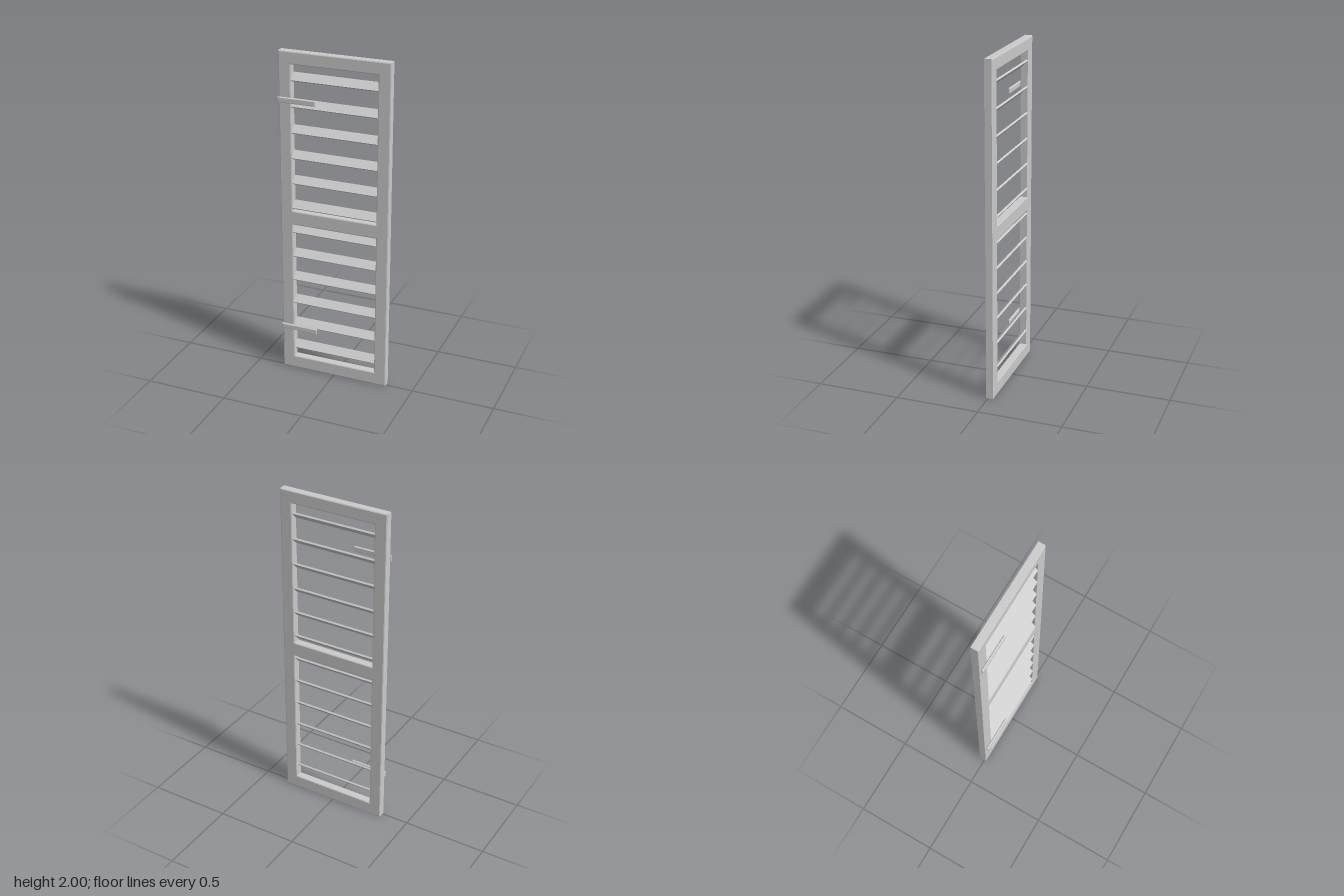
import * as THREE from 'three';

const material = new THREE.MeshStandardMaterial({ color: 0xcccccc, flatShading: true });

function rect(Type, x0, y0, x1, y1) {
  const r = new Type();
  r.moveTo(x0, y0);
  r.lineTo(x1, y0);
  r.lineTo(x1, y1);
  r.lineTo(x0, y1);
  r.closePath();
  return r;
}

// Extrudes a shape from z0 to z1 with chamfers inside its outline
function chamfered(name, shape, z0, z1, size, depth) {
  const geometry = new THREE.ExtrudeGeometry(shape, {
    depth: z1 - z0 - 2 * depth,
    bevelEnabled: true,
    bevelSegments: 1,
    bevelSize: size,
    bevelOffset: -size,
    bevelThickness: depth,
  });
  geometry.translate(0, 0, z0 + depth);
  const mesh = new THREE.Mesh(geometry, material);
  mesh.name = name;
  return mesh;
}

export function createModel() {
  const model = new THREE.Group();
  model.name = 'louveredShutter';

  // Frame with two openings, divided by the middle rail
  const outline = rect(THREE.Shape, -0.333, 0, 0.333, 2);
  for (const [y0, y1] of [[0.078, 0.96], [1.045, 1.927]]) {
    outline.holes.push(rect(THREE.Path, -0.26, y0, 0.26, y1));
  }
  model.add(chamfered('frame', outline, -0.035, 0.013, 0.005, 0.003));

  // Tilted slats, low edge towards the front
  const slats = new THREE.Group();
  slats.name = 'slats';
  const slatGeometry = new THREE.BoxGeometry(0.524, 0.011, 0.055);
  for (let i = 0; i < 12; i++) {
    const slat = new THREE.Mesh(slatGeometry, material);
    slat.name = 'slat';
    slat.position.set(0, 0.157 + i * 0.1541, -0.011);
    slat.rotation.x = Math.PI / 4;
    slats.add(slat);
  }
  model.add(slats);

  // Strap hinges in front of the right stile
  for (const y of [0.286, 1.722]) {
    const strap = rect(THREE.Shape, -0.333, y - 0.016, -0.104, y + 0.016);
    model.add(chamfered('hingeStrap', strap, 0.02, 0.034, 0.004, 0.004));
  }
  return model;
}
